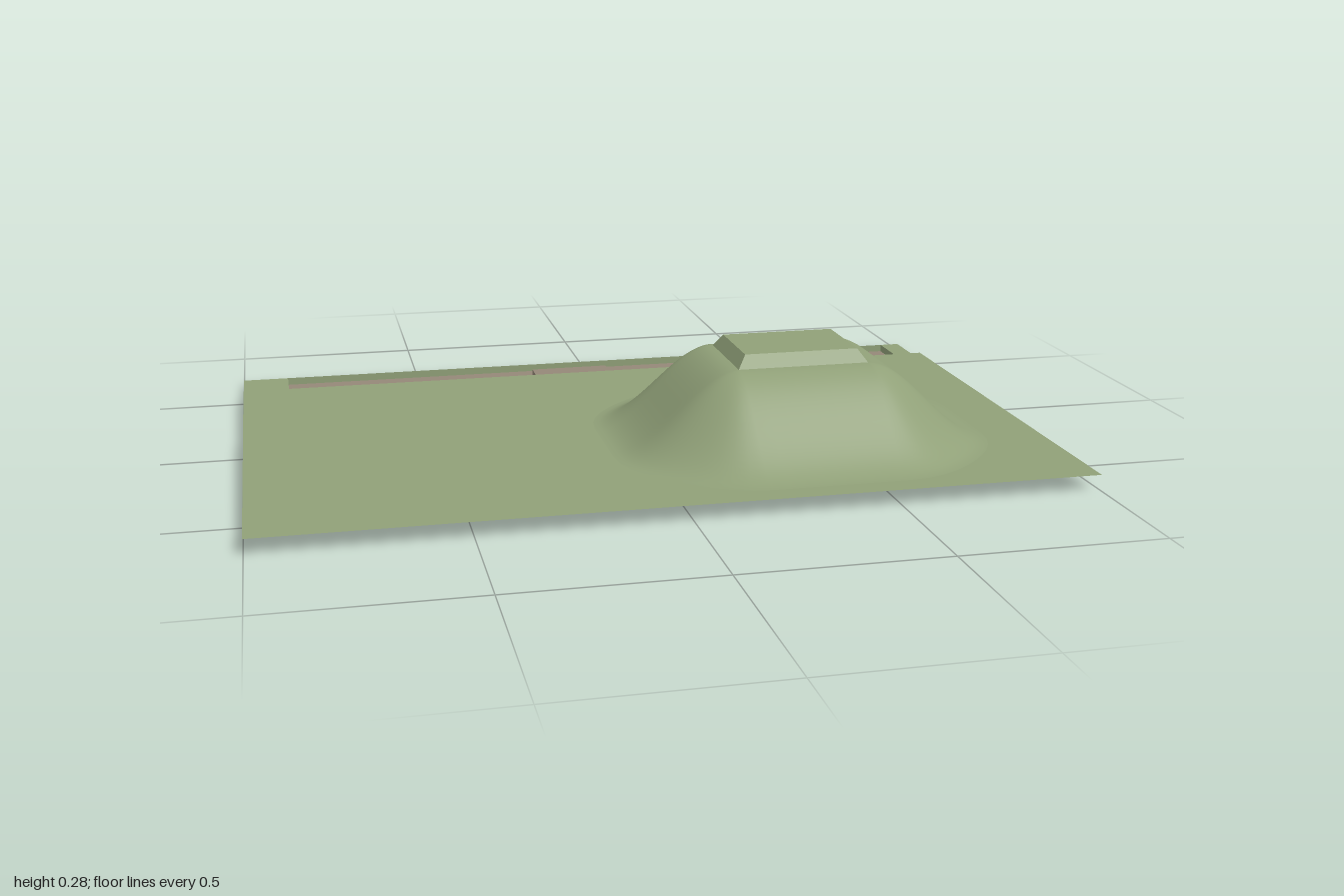
import * as THREE from 'three';

const green = new THREE.MeshStandardMaterial({ color: 0x90a078, side: THREE.DoubleSide });
const brown = new THREE.MeshStandardMaterial({ color: 0x958878, side: THREE.DoubleSide });

// Four-cornered faces, each given as [a, b, c, d] counter-clockwise from its front
function faces(name, material, quads) {
  const pos = [];
  for (const [a, b, c, d] of quads) pos.push(...a, ...b, ...c, ...a, ...c, ...d);
  const geo = new THREE.BufferGeometry();
  geo.setAttribute('position', new THREE.Float32BufferAttribute(pos, 3));
  geo.computeVertexNormals();
  const mesh = new THREE.Mesh(geo, material);
  mesh.name = name;
  return mesh;
}
const level = (x0, x1, z0, z1, y) => [[x0, y, z1], [x1, y, z1], [x1, y, z0], [x0, y, z0]];
const wallZ = (x0, x1, y0, y1, z) => [[x1, y0, z], [x0, y0, z], [x0, y1, z], [x1, y1, z]];
const wallX = (z0, z1, y0, y1, x) => [[x, y0, z1], [x, y0, z0], [x, y1, z0], [x, y1, z1]];

// Flat sheet from (x, z) points, with optional hole
function sheet(name, material, outline, y, hole) {
  const toV = ([x, z]) => new THREE.Vector2(x, -z);
  const shape = new THREE.Shape(outline.map(toV));
  if (hole) shape.holes.push(new THREE.Path(hole.map(toV)));
  const mesh = new THREE.Mesh(new THREE.ShapeGeometry(shape).rotateX(-Math.PI / 2), material);
  mesh.position.y = y;
  mesh.name = name;
  return mesh;
}

const GROUND = 0.04, BANK = 0.02, CREST = 0.245, TOP = 0.277;
const Z0 = -0.677, ZW = -0.49, Z1 = 0.677;      // back edge, terrace wall, front edge
const XA = -0.875, XB = 0.945;                  // ends of the sunken strip
const BX0 = -0.165, BX1 = 0.055, BZ = -0.62;    // raised block on the strip
const crest = { x0: 0.205, x1: 0.54, z0: 0.052, z1: 0.302 };

// Stations around the crest: straight sides joined by fans at the corners
function stations() {
  const { x0, x1, z0, z1 } = crest;
  const corners = [[x1, z1], [x0, z1], [x0, z0], [x1, z0]];
  const list = [];
  corners.forEach(([x, z], i) => {
    const [nx, nz] = corners[(i + 1) % 4];
    for (let k = 0; k <= 10; k++) list.push({ x, z, a: (i + k / 10) * Math.PI / 2 });
    for (let k = 1; k < 8; k++) {
      list.push({ x: x + (nx - x) * k / 8, z: z + (nz - z) * k / 8, a: (i + 1) * Math.PI / 2 });
    }
  });
  return list;
}

// Hill: rings spreading from the crest down an S-shaped slope
function buildHill() {
  const ring = stations(), n = ring.length, rows = 20;
  const pos = [], index = [], rim = [];
  for (let r = 0; r <= rows; r++) {
    const t = r / rows;
    ring.forEach(({ x, z, a }, i) => {
      const reach = 0.305 * (1 + 0.03 * Math.cos(4 * a));
      const px = x + Math.cos(a) * reach * t, pz = z + Math.sin(a) * reach * t;
      const y = CREST - (CREST - GROUND) * t * t * (3 - 2 * t);
      pos.push(px, y, pz);
      if (r === rows) rim.push([px, pz]);
      if (r < rows) {
        const p = r * n + i, q = r * n + (i + 1) % n;
        index.push(p, q, p + n, q, q + n, p + n);
      }
    });
  }
  const geo = new THREE.BufferGeometry();
  geo.setAttribute('position', new THREE.Float32BufferAttribute(pos, 3));
  geo.setIndex(index);
  geo.computeVertexNormals();
  const mesh = new THREE.Mesh(geo, green);
  mesh.name = 'hill';
  return { mesh, rim };
}

export function createModel() {
  const group = new THREE.Group();
  group.name = 'terrain';

  // Hill and the ground around it
  const { mesh: hill, rim } = buildHill();
  group.add(hill);
  group.add(sheet('ground', green, [[-1, Z1], [1, Z1], [1, ZW], [-1, ZW]], GROUND, rim));

  // Sloped platform on the hilltop
  const { x0, x1, z0, z1 } = crest, s = 0.022;
  const low = [[x0, z1], [x1, z1], [x1, z0], [x0, z0]];
  const high = [[x0 + s, z1 - s], [x1 - s, z1 - s], [x1 - s, z0 + s], [x0 + s, z0 + s]];
  const platform = low.map((p, i) => {
    const j = (i + 1) % 4, q = low[j], u = high[j], v = high[i];
    return [[p[0], CREST, p[1]], [q[0], CREST, q[1]], [u[0], TOP, u[1]], [v[0], TOP, v[1]]];
  });
  platform.push(level(x0 + s, x1 - s, z0 + s, z1 - s, TOP));
  group.add(faces('hilltopPlatform', green, platform));

  // Terrace wall behind the ground
  group.add(faces('terraceWall', green, [
    wallZ(-1, 1, BANK, GROUND, ZW),
    wallZ(XA, BX0, 0, BANK, ZW),
    wallZ(BX1, XB, 0, BANK, ZW),
  ]));

  // Banks at both ends of the strip, with the low walls around it
  group.add(faces('stripBanks', green, [
    level(-1, XA, Z0, ZW, BANK),
    level(XB, 1, Z0, ZW, BANK),
    wallX(Z0, ZW, 0, BANK, XA),
    wallX(Z0, ZW, 0, BANK, XB).reverse(),
    wallZ(XA, XB, 0, BANK, Z0),
  ]));

  // Sunken strip, open under the raised block
  group.add(sheet('sunkenStrip', brown, [
    [XA, ZW], [BX0, ZW], [BX0, BZ], [BX1, BZ], [BX1, ZW], [XB, ZW], [XB, Z0], [XA, Z0],
  ], 0));
  group.add(faces('raisedBlock', brown, [
    level(BX0, BX1, BZ, ZW, BANK),
    wallZ(BX0, BX1, 0, BANK, BZ),
    wallX(BZ, ZW, 0, BANK, BX1),
    wallX(BZ, ZW, 0, BANK, BX0).reverse(),
  ]));

  return group;
}
